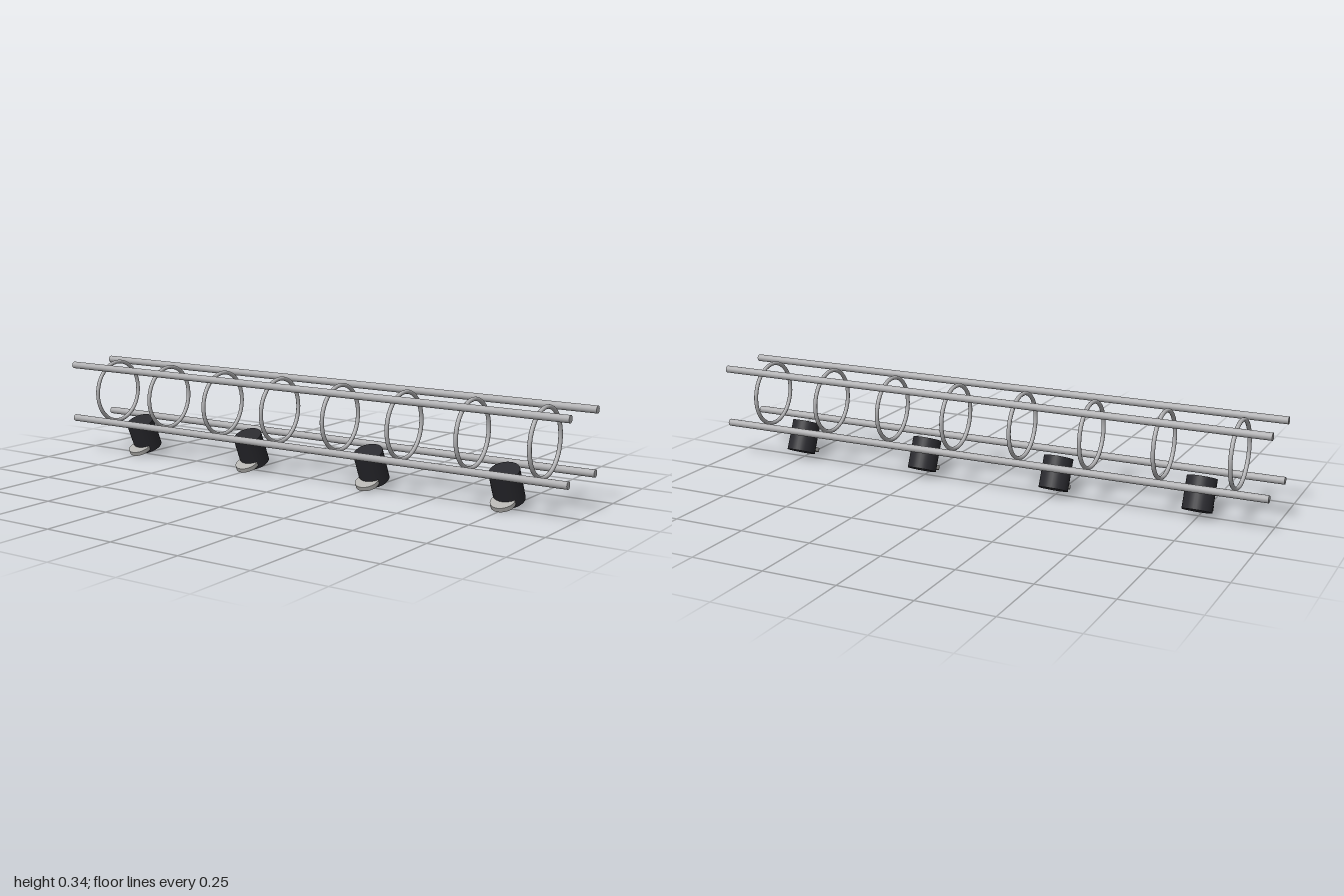
import * as THREE from 'three';

export function createModel() {
  const model = new THREE.Group();
  model.name = 'lightingTruss';

  const metal = new THREE.MeshStandardMaterial({ color: 0xb0b0b2 });
  metal.name = 'silver metal';
  const housing = new THREE.MeshStandardMaterial({ color: 0x2a2a2f });
  housing.name = 'black housing';
  const glass = new THREE.MeshStandardMaterial({ color: 0xb4b3b0 });
  glass.name = 'pale lens';

  const add = (parent, name, geometry, material, x, y, z) => {
    const mesh = new THREE.Mesh(geometry, material);
    mesh.name = name;
    mesh.position.set(x, y, z);
    parent.add(mesh);
    return mesh;
  };

  const centreY = 0.225;

  // Four long rails
  const railGeometry = new THREE.CylinderGeometry(0.0125, 0.0125, 2, 16).rotateZ(Math.PI / 2);
  for (const y of [-0.1, 0.1]) {
    for (const z of [-0.1, 0.1]) add(model, 'rail', railGeometry, metal, 0, centreY + y, z);
  }

  // Eight hoops standing across the rails
  const hoopGeometry = new THREE.TorusGeometry(0.1105, 0.007, 12, 48).rotateY(Math.PI / 2);
  for (let i = 0; i < 8; i++) {
    add(model, 'hoop', hoopGeometry, metal, -0.875 + i * 0.25, centreY, 0);
  }

  // Four tilted lamps, each with a disc lens low on its front
  const bodyGeometry = new THREE.CylinderGeometry(0.05, 0.05, 0.11, 32);
  const lensGeometry = new THREE.CylinderGeometry(0.04, 0.04, 0.015, 32);
  for (let i = 0; i < 4; i++) {
    const lamp = new THREE.Group();
    lamp.name = 'lamp';
    lamp.position.set(-0.75 + i * 0.5, 0.0745, 0);
    lamp.rotation.x = 0.42;
    add(lamp, 'lampBody', bodyGeometry, housing, 0, 0, 0);
    add(lamp, 'lampLens', lensGeometry, glass, 0, -0.036, 0.0445);
    model.add(lamp);
  }

  return model;
}
